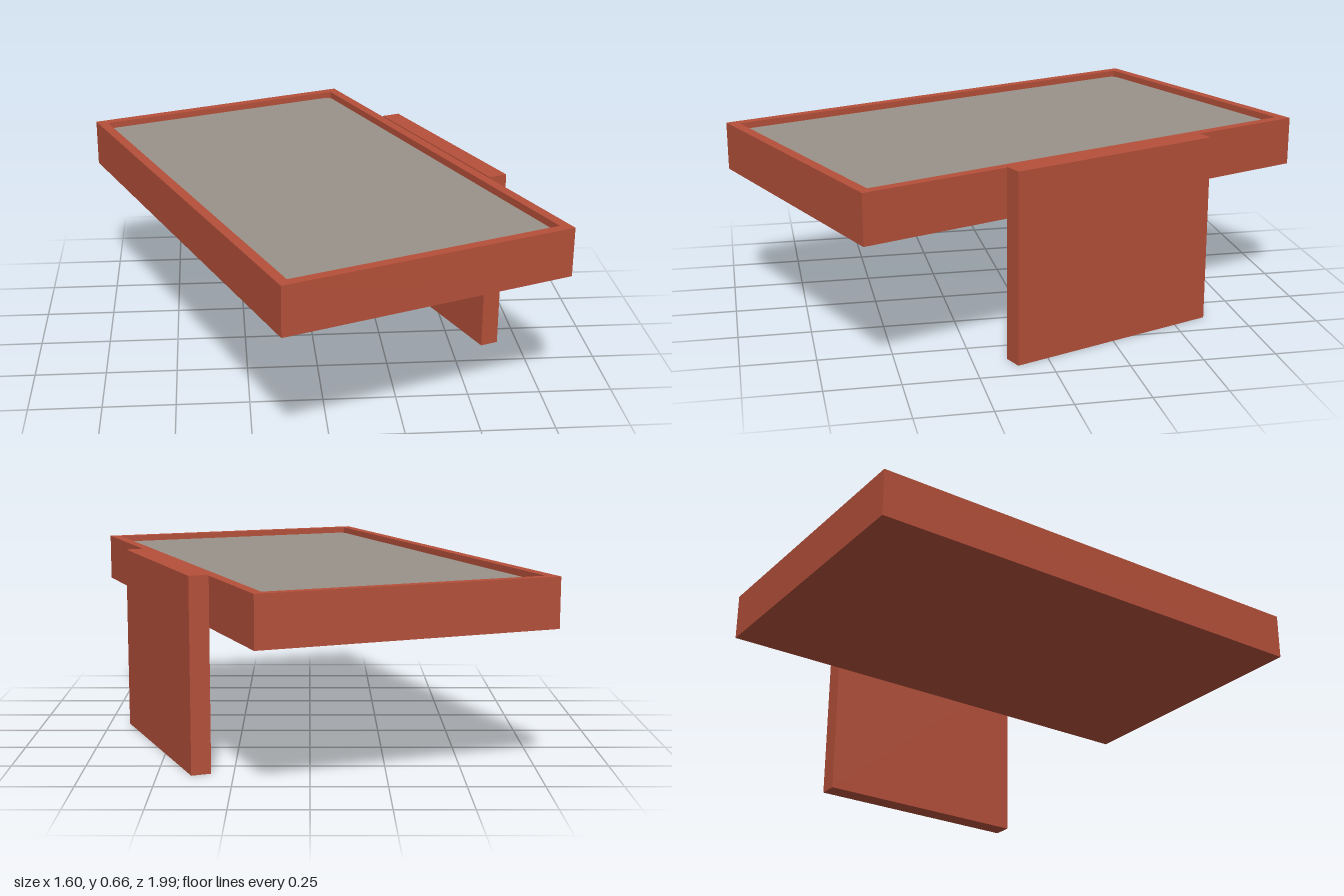
import * as THREE from 'three';

const WIDTH = 1.04, LENGTH = 1.73;      // tray outline
const BOTTOM = 0.485, TOP = 0.655;      // tray height range
const RIM = 0.036, FLOOR = 0.63;        // rim width and recessed floor level

// Rectangle centred on the origin, with optional rounded corners
function rectangle(w, l, r = 0, Type = THREE.Shape) {
  const x = w / 2, y = l / 2, s = new Type();
  if (!r) {
    s.setFromPoints([[-x, -y], [x, -y], [x, y], [-x, y], [-x, -y]]
      .map(([a, b]) => new THREE.Vector2(a, b)));
    return s;
  }
  s.absarc(x - r, -y + r, r, -Math.PI / 2, 0);
  s.absarc(x - r, y - r, r, 0, Math.PI / 2);
  s.absarc(-x + r, y - r, r, Math.PI / 2, Math.PI);
  s.absarc(-x + r, -y + r, r, Math.PI, Math.PI * 1.5);
  s.closePath();
  return s;
}

// Extrude a flat outline upwards from y0 to y1
function slab(name, shape, y0, y1, material) {
  const geometry = new THREE.ExtrudeGeometry(shape, { depth: y1 - y0, bevelEnabled: false, curveSegments: 4 });
  geometry.rotateX(-Math.PI / 2).translate(0, y0, 0);
  const mesh = new THREE.Mesh(geometry, material);
  mesh.name = name;
  return mesh;
}

export function createModel() {
  const brick = new THREE.MeshStandardMaterial({ color: 0xb5503a });
  brick.name = 'brick red';
  const grey = new THREE.MeshStandardMaterial({ color: 0x9a928a });
  grey.name = 'warm grey';

  const model = new THREE.Group();
  model.name = 'flatRoof';

  // Raised rim around the recess
  const rimShape = rectangle(WIDTH, LENGTH);
  rimShape.holes.push(rectangle(WIDTH - 2 * RIM, LENGTH - 2 * RIM, 0, THREE.Path));
  model.add(slab('rim', rimShape, BOTTOM, TOP, brick));

  // Tray body inside the rim
  model.add(slab('trayFloor', rectangle(WIDTH - 2 * RIM, LENGTH - 2 * RIM), BOTTOM, FLOOR, brick));

  // Grey covering on the floor
  model.add(slab('floorCovering', rectangle(WIDTH - 0.084, LENGTH - 0.084, 0.03), FLOOR, FLOOR + 0.004, grey));

  // Upright wall against the left long side
  const wall = new THREE.Mesh(new THREE.BoxGeometry(0.068, 0.658, 0.785), brick);
  wall.name = 'supportWall';
  wall.position.set(0.555, 0.329, -0.042);
  model.add(wall);

  // The whole piece stands turned about the vertical
  model.rotation.y = 0.377;
  const root = new THREE.Group();
  root.name = 'model';
  root.add(model);
  return root;
}
